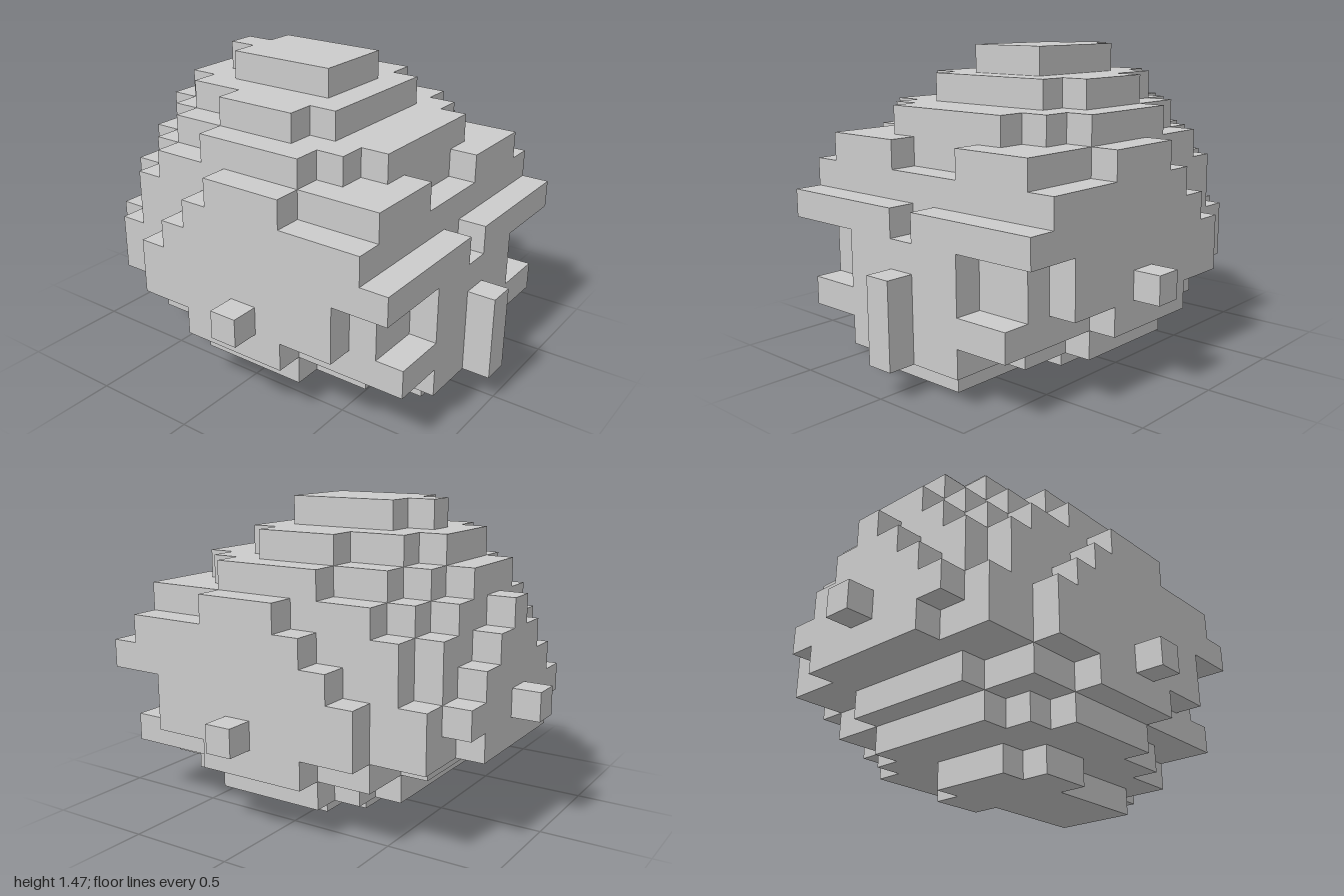
import * as THREE from 'three';

// Size of one block
const U = 2 / 15;
const material = new THREE.MeshStandardMaterial({ color: 0xcccccc, flatShading: true });

// Each layer from the ground up: foremost and rearmost block in z
// for the columns x = 0, 1, 2 ... (mirrored to -x)
const LAYERS = [
  { name: 'neckBase', front: [5, 5, 1], back: [-1, -1, 0] },
  { name: 'chin', front: [6, 6, 6, 4, 2], back: [-3, -3, -3, -2, -1] },
  { name: 'jaw', front: [6, 6, 6, 6, 6, 2], back: [-4, -4, -4, -3, -3, -1] },
  { name: 'lowerEyeLevel', front: [6, 6, 6, 5, 5, 4], back: [-6, -6, -6, -5, -5, -3] },
  { name: 'upperEyeLevel', front: [6, 6, 6, 5, 5, 4], back: [-6, -6, -6, -6, -5, -3] },
  { name: 'brow', front: [5, 6, 6, 6, 6, 6], back: [-6, -6, -6, -5, -4, -2] },
  { name: 'forehead', front: [5, 5, 5, 5, 5, 5], back: [-6, -6, -5, -5, -4, -1] },
  { name: 'hairline', front: [4, 4, 5, 5, 5, 2], back: [-6, -5, -5, -4, -3, 0] },
  { name: 'lowerCrown', front: [4, 4, 4, 3, 2], back: [-5, -5, -4, -3, -1] },
  { name: 'upperCrown', front: [2, 2, 2, 1], back: [-4, -4, -3, -1] },
  { name: 'crownTop', front: [1, 1], back: [-3, -2] },
];

// Stepped outline of a layer, extruded one block upward
function layerGeometry({ front, back }) {
  const n = front.length - 1;
  const points = [];
  const add = (x, z) => {
    const last = points[points.length - 1];
    if (!last || last.x !== x * U || last.y !== -z * U) points.push(new THREE.Vector2(x * U, -z * U));
  };
  for (let x = -n; x <= n; x++) {
    const z = front[Math.abs(x)] + 0.5;
    add(x - 0.5, z);
    add(x + 0.5, z);
  }
  for (let x = n; x >= -n; x--) {
    const z = back[Math.abs(x)] - 0.5;
    add(x + 0.5, z);
    add(x - 0.5, z);
  }
  const geometry = new THREE.ExtrudeGeometry(new THREE.Shape(points), { depth: U, bevelEnabled: false });
  return geometry.rotateX(-Math.PI / 2);
}

export function createModel() {
  const group = new THREE.Group();
  group.name = 'blockHead';

  LAYERS.forEach((layer, y) => {
    const mesh = new THREE.Mesh(layerGeometry(layer), material);
    mesh.name = layer.name;
    mesh.position.y = y * U;
    group.add(mesh);
  });

  // Single blocks that stick out of the head
  const block = (name, x, y, z, height = 1) => {
    const mesh = new THREE.Mesh(new THREE.BoxGeometry(U, height * U, U), material);
    mesh.name = name;
    mesh.position.set(x * U, (y + height / 2) * U, z * U);
    group.add(mesh);
  };
  block('nose', 0, 1, 7, 3);
  block('backStud', 0, 4, -7);
  block('leftEar', 6, 3, 1);
  block('rightEar', -6, 3, 1);

  return group;
}
